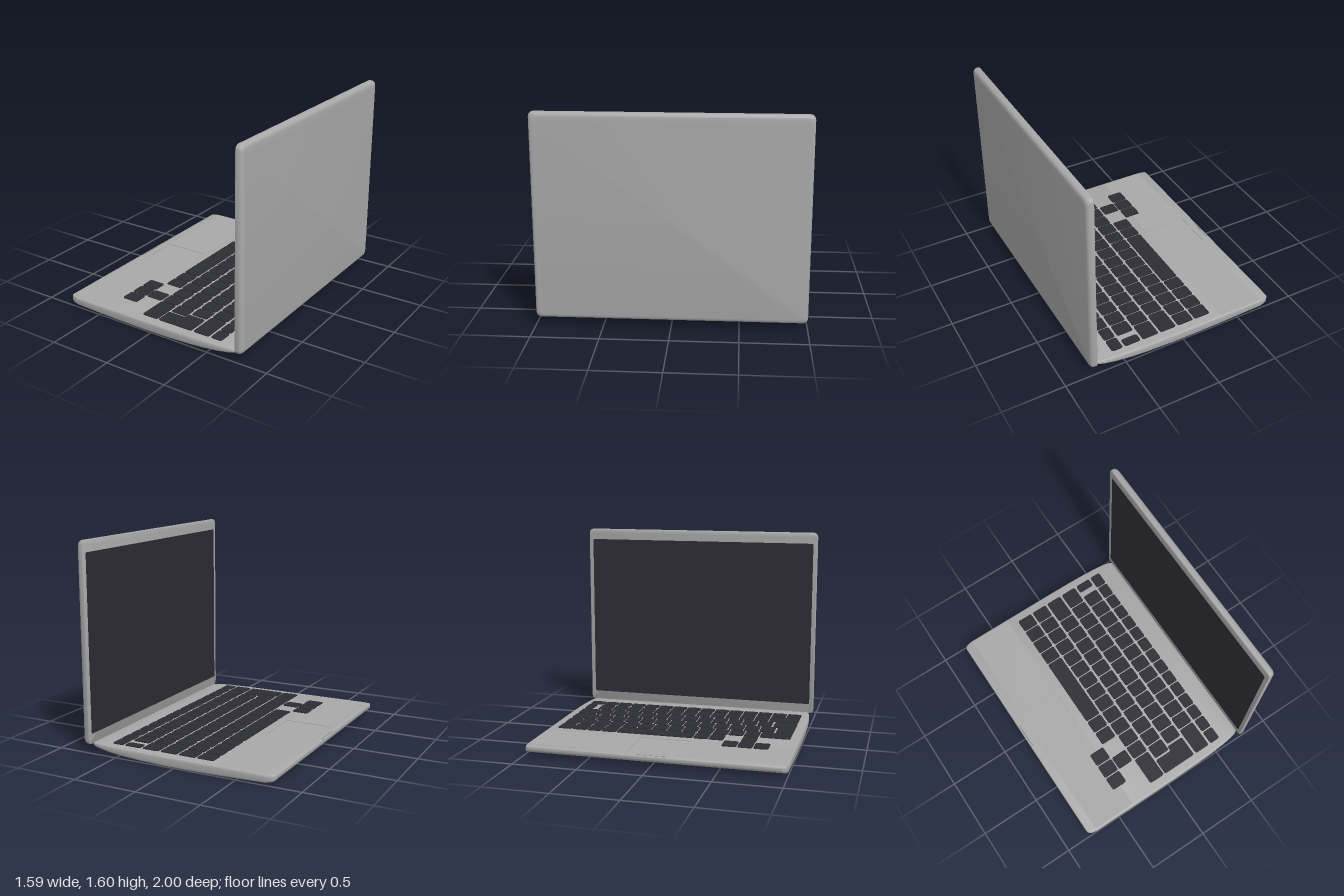
import * as THREE from 'three';
import { toCreasedNormals } from 'three/addons/utils/BufferGeometryUtils.js';

const bodyGrey = new THREE.MeshStandardMaterial({ color: 0xa8a8a8 });
bodyGrey.name = 'bodyGrey';
const darkKey = new THREE.MeshStandardMaterial({ color: 0x2d2c34 });
darkKey.name = 'darkKey';
const grooveGrey = new THREE.MeshStandardMaterial({ color: 0x6e6e6e });
grooveGrey.name = 'grooveGrey';
const recessGrey = new THREE.MeshStandardMaterial({ color: 0xa8a8a8, side: THREE.BackSide });
recessGrey.name = 'recessGrey';

const DECK = 0.077;

function add(parent, name, geometry, material, x = 0, y = 0, z = 0) {
  const mesh = new THREE.Mesh(geometry, material);
  mesh.name = name;
  mesh.position.set(x, y, z);
  parent.add(mesh);
  return mesh;
}

// Rounded-rectangle sections [x, bottom, top, halfWidth, radius] joined along x.
// openTop is the index of a span whose flat top is left out.
function loft(sections, openTop = -1) {
  const pos = [], idx = [], steps = 4, n = steps * 4;
  for (const [x, yb, yt, hw, r] of sections) {
    const centres = [[hw - r, yt - r], [r - hw, yt - r], [r - hw, yb + r], [hw - r, yb + r]];
    centres.forEach(([cz, cy], c) => {
      for (let k = 0; k < steps; k++) {
        const t = (c + k / (steps - 1)) * Math.PI / 2;
        pos.push(x, cy + r * Math.sin(t), cz + r * Math.cos(t));
      }
    });
  }
  for (let i = 0; i < sections.length - 1; i++) {
    for (let j = 0; j < n; j++) {
      if (i === openTop && j === steps - 1) continue;
      const a = i * n + j, b = i * n + (j + 1) % n;
      idx.push(a, a + n, b, b, a + n, b + n);
    }
  }
  const e = (sections.length - 1) * n;
  for (let j = 1; j < n - 1; j++) idx.push(0, j, j + 1, e, e + j + 1, e + j);
  const g = new THREE.BufferGeometry();
  g.setAttribute('position', new THREE.Float32BufferAttribute(pos, 3));
  g.setIndex(idx);
  return toCreasedNormals(g, 0.7);
}

// Flat plate with rounded corners, lying on the xz plane.
function plate(corners, r, height) {
  const s = new THREE.Shape(), n = corners.length;
  const v = corners.map(([x, z]) => new THREE.Vector2(x, -z));
  v.forEach((p, i) => {
    const inn = p.clone().add(v[(i + n - 1) % n].clone().sub(p).setLength(r));
    const out = p.clone().add(v[(i + 1) % n].clone().sub(p).setLength(r));
    if (i === 0) s.moveTo(inn.x, inn.y); else s.lineTo(inn.x, inn.y);
    s.quadraticCurveTo(p.x, p.y, out.x, out.y);
  });
  s.closePath();
  return new THREE.ExtrudeGeometry(s, { depth: height, bevelEnabled: false, curveSegments: 3 })
    .rotateX(-Math.PI / 2);
}

// Evenly spaced key edges from a to b.
const edges = (a, b, count) => Array.from({ length: count + 1 }, (_, i) => a + (b - a) * i / count);

function buildKeyboard() {
  const keyboard = new THREE.Group();
  keyboard.name = 'keyboard';
  const key = (corners, name = 'key') =>
    add(keyboard, name, plate(corners, 0.016, 0.007), darkKey, 0, DECK - 0.0005, 0);
  const rect = (x0, x1, z0, z1, name) => key([[x0, z0], [x1, z0], [x1, z1], [x0, z1]], name);
  const rows = [
    [-0.425, -0.293, edges(0.44, 0.805, 3)],
    [-0.283, -0.15, [...edges(-0.93, -0.437, 4), 0.187, 0.308, 0.43]],
    [-0.283, -0.15, [0.562, 0.684]],
    [-0.133, 0.002, [...edges(-0.93, 0.682, 13), 0.93]],
    [0.022, 0.157, [-0.93, ...edges(-0.718, 0.778, 12)]],
    [0.177, 0.312, [-0.93, ...edges(-0.768, 0.732, 12)]],
    [0.332, 0.465, [-0.93, -0.848]],
    [0.332, 0.465, [...edges(-0.808, 0.682, 12), 0.93]],
    [0.485, 0.576, edges(-0.93, 0.93, 15)],
  ];
  for (const [x0, x1, z] of rows) {
    for (let i = 0; i < z.length - 1; i++) {
      rect(x0, x1, z[i] + 0.005, z[i + 1] - 0.005, z[i + 1] - z[i] > 0.5 ? 'spaceBar' : 'key');
    }
  }
  // L-shaped enter key
  key([[0.015, 0.79], [0.165, 0.79], [0.165, 0.745], [0.312, 0.745], [0.312, 0.925], [0.015, 0.925]], 'enterKey');
  return keyboard;
}

export function createModel() {
  const model = new THREE.Group();
  model.name = 'laptop';

  // Base: flat deck, belly that thins towards front and hinge
  const pad = { x0: -0.72, x1: -0.355, half: 0.205, depth: 0.004 };
  const base = [
    [-0.797, 0.052, 0.07, 0.955, 0.006],
    [-0.793, 0.04, 0.075, 0.972, 0.01],
    [-0.78, 0.029, DECK, 0.986, 0.012],
    [-0.755, 0.02, DECK, 0.995, 0.015],
    [pad.x0, 0.014, DECK, 1, 0.015],
    [pad.x1, 0.003, DECK, 1, 0.015],
    [-0.1, 0, DECK, 1, 0.015],
    [0.1, 0.001, DECK, 1, 0.015],
    [0.3, 0.007, DECK, 0.998, 0.015],
    [0.45, 0.015, DECK, 0.994, 0.015],
    [0.58, 0.026, DECK, 0.986, 0.015],
    [0.66, 0.036, 0.075, 0.977, 0.014],
    [0.71, 0.045, 0.072, 0.966, 0.01],
    [0.735, 0.053, 0.067, 0.95, 0.006],
    [0.745, 0.057, 0.063, 0.935, 0.002],
  ];
  add(model, 'base', loft(base, 4), bodyGrey);

  // Deck beside the trackpad, and the sunken trackpad itself
  const padLen = pad.x1 - pad.x0, padX = (pad.x0 + pad.x1) / 2;
  const deckWidth = 0.985 - pad.half;
  for (const side of [-1, 1]) {
    add(model, 'deckPanel', new THREE.PlaneGeometry(padLen, deckWidth).rotateX(-Math.PI / 2),
      bodyGrey, padX, DECK, side * (pad.half + deckWidth / 2));
  }
  add(model, 'trackpad', new THREE.BoxGeometry(padLen, pad.depth, pad.half * 2),
    recessGrey, padX, DECK - pad.depth / 2, 0);

  // Finger notch outline on the front edge
  add(model, 'notchLine', new THREE.BoxGeometry(0.004, 0.003, 0.208), grooveGrey, -0.78, DECK - 0.001, 0);
  for (const side of [-1, 1]) {
    add(model, 'notchEnd', new THREE.BoxGeometry(0.014, 0.003, 0.004), grooveGrey, -0.787, DECK - 0.0015, side * 0.102);
  }

  model.add(buildKeyboard());

  // Lid: flat inner face, rounded back
  const lid = [[0.735, 0.003], [0.738, 0], [0.762, 0], [0.775, 0.004], [0.784, 0.011], [0.789, 0.021], [0.791, 0.034]]
    .map(([x, d]) => [x, 0.06 + d, 1.6 - d, 1 - d, 0.035]);
  add(model, 'lid', loft(lid), bodyGrey);

  // Screen on the inner face
  const screen = plate([[-0.685, -0.965], [0.685, -0.965], [0.685, 0.965], [-0.685, 0.965]], 0.015, 0.003);
  add(model, 'screen', screen.rotateZ(Math.PI / 2), darkKey, 0.736, 0.825, 0);

  return model;
}
